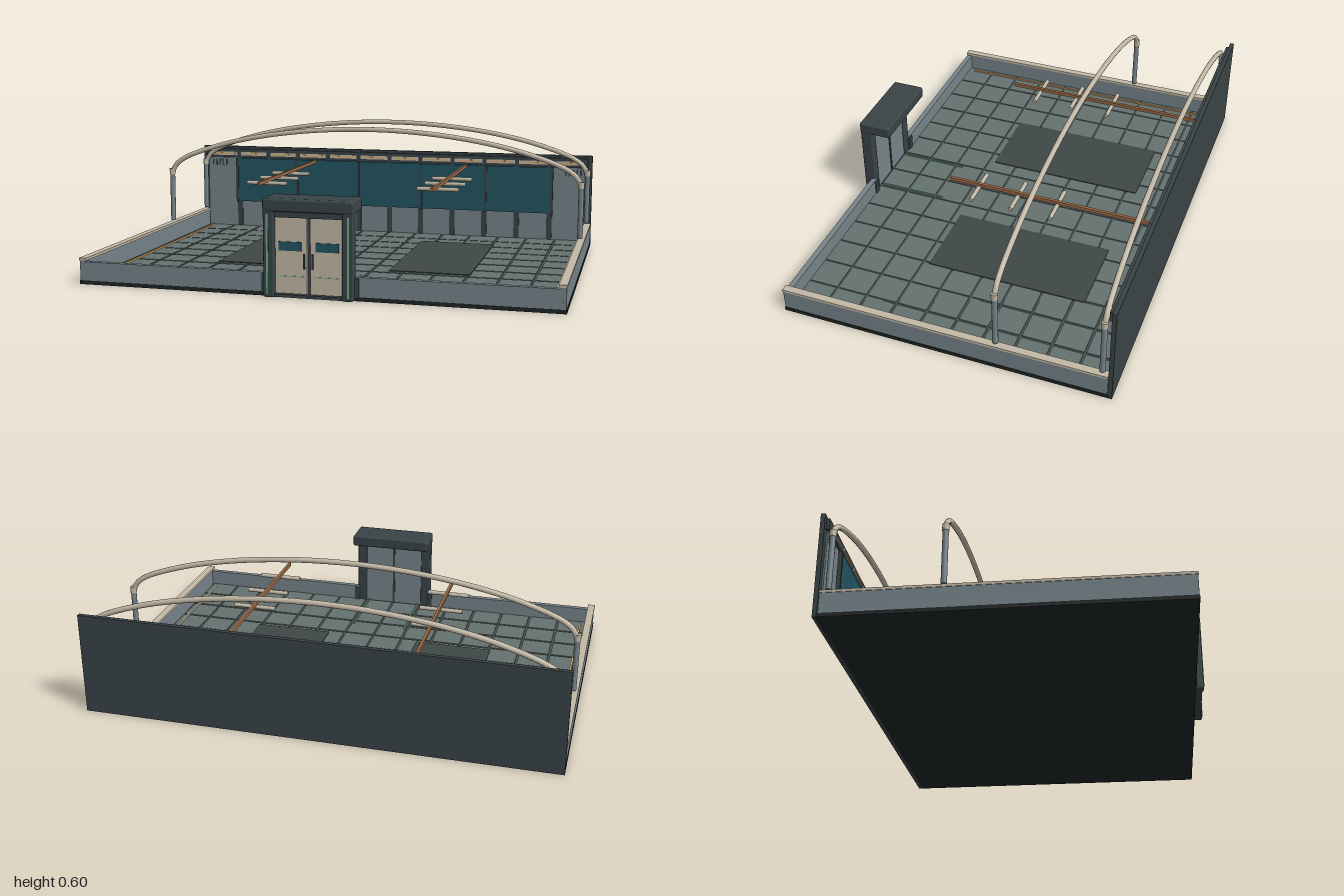
import * as THREE from 'three';
import { RoundedBoxGeometry } from 'three/addons/geometries/RoundedBoxGeometry.js';

const mat = (color) => new THREE.MeshStandardMaterial({ color });
const M = {
  base: mat(0x1f2424), dark: mat(0x394346), grey: mat(0x76848a), tile: mat(0x65716f),
  grout: mat(0x465150), mat: mat(0x3f4847), cream: mat(0xc2b8a6), teal: mat(0x235461),
  copper: mat(0x9c6a48), amber: mat(0xd8a868), green: mat(0x6fae8c),
};

export function createModel() {
  const root = new THREE.Group();
  const group = (name) => {
    const g = new THREE.Group();
    g.name = name;
    root.add(g);
    return g;
  };
  const add = (parent, name, geometry, material, x, y, z) => {
    const m = new THREE.Mesh(geometry, material);
    m.name = name;
    m.position.set(x, y, z);
    parent.add(m);
    return m;
  };
  // box given by its low and high corners
  const box = (parent, name, material, x0, x1, y0, y1, z0, z1) =>
    add(parent, name, new THREE.BoxGeometry(x1 - x0, y1 - y0, z1 - z0), material,
      (x0 + x1) / 2, (y0 + y1) / 2, (z0 + z1) / 2);
  const rounded = (parent, name, material, x0, x1, y0, y1, z0, z1, r) =>
    add(parent, name, new RoundedBoxGeometry(x1 - x0, y1 - y0, z1 - z0, 2, r), material,
      (x0 + x1) / 2, (y0 + y1) / 2, (z0 + z1) / 2);

  // floor: base slab, grout and tiles
  const floor = group('floor');
  box(floor, 'baseSlab', M.base, -1, 1, 0, 0.016, -0.71, 0.685);
  box(floor, 'groutBed', M.grout, -0.97, 0.97, 0.014, 0.022, -0.7, 0.67);
  const cols = 14, rows = 10, tw = 1.94 / cols, td = 1.36 / rows;
  for (let i = 0; i < cols; i++) {
    for (let j = 0; j < rows; j++) {
      const x = -0.97 + i * tw, z = -0.695 + j * td;
      box(floor, 'floorTile', M.tile, x + 0.005, x + tw - 0.005, 0.02, 0.026,
        z + 0.005, z + td - 0.005);
    }
  }
  for (const s of [-1, 1]) {
    box(floor, 'floorMat', M.mat, s * 0.387 - 0.175, s * 0.387 + 0.175, 0.02, 0.03, -0.47, 0.23);
    box(floor, 'edgeLightStrip', s < 0 ? M.amber : M.cream,
      s * 0.94 - 0.004, s * 0.94 + 0.004, 0.02, 0.033, -0.67, 0.63);
    box(floor, 'entryGuideStrip', M.green,
      s * 0.123 - 0.003, s * 0.123 + 0.003, 0.02, 0.032, 0.36, 0.66);
  }

  // low walls along the sides and the front
  const walls = group('lowWalls');
  for (const s of [-1, 1]) {
    box(walls, 'sideWall', M.grey, s * 0.985 - 0.0125, s * 0.985 + 0.0125, 0.014, 0.1, -0.7, 0.683);
    box(walls, 'sideWallCap', M.cream, s * 0.984 - 0.016, s * 0.984 + 0.016, 0.1, 0.111, -0.7, 0.685);
    box(walls, 'frontWall', M.grey, s * 0.58 - 0.405, s * 0.58 + 0.405, 0.012, 0.095, 0.66, 0.684);
    box(walls, 'frontWallStop', M.dark, s * 0.187 - 0.012, s * 0.187 + 0.012, 0.012, 0.09, 0.655, 0.69);
  }

  // back wall with panels, ribs, glazing and a lit fascia
  const back = group('backWall');
  box(back, 'backBoard', M.dark, -1, 1, 0, 0.44, -0.72, -0.702);
  box(back, 'backPanel', M.grey, -0.97, 0.97, 0.016, 0.38, -0.703, -0.696);
  box(back, 'fascia', M.dark, -0.98, 0.98, 0.382, 0.428, -0.703, -0.688);
  for (let i = 0; i < 12; i++) {
    const x = -0.88 + i * 0.16;
    box(back, 'fasciaLight', M.cream, x - 0.07, x + 0.07, 0.394, 0.412, -0.69, -0.684);
    box(back, 'fasciaLightInset', M.amber, x - 0.055, x + 0.055, 0.399, 0.405, -0.686, -0.682);
  }
  for (let i = 0; i < 11; i++) {
    const x = -0.8 + i * 0.16;
    box(back, 'wallRib', M.dark, x - 0.013, x + 0.013, 0.016, 0.385, -0.7, -0.69);
  }
  for (let i = 0; i < 5; i++) {
    const x = -0.648 + i * 0.324;
    box(back, 'glassPanel', M.teal, x - 0.16, x + 0.16, 0.155, 0.38, -0.694, -0.684);
  }
  for (const x of [-0.81, -0.486, -0.162, 0.162, 0.486, 0.81]) {
    box(back, 'panelDivider', M.dark, x - 0.006, x + 0.006, 0.15, 0.38, -0.69, -0.679);
  }
  for (const s of [-1, 1]) {
    for (let i = 0; i < 5; i++) {
      const x = s * (0.875 + i * 0.018);
      box(back, 'ventSlot', M.dark, x - 0.004, x + 0.004, 0.34, 0.372, -0.697, -0.693);
    }
  }

  // two roof arches standing on posts above the side walls
  const half = [[0.98, 0.35], [0.965, 0.387], [0.92, 0.425], [0.74, 0.492], [0.52, 0.542], [0.26, 0.575]];
  const profile = [...half.map(([x, y]) => [-x, y]), [0, 0.586], ...half.slice().reverse()];
  const curve = new THREE.CatmullRomCurve3(profile.map(([x, y]) => new THREE.Vector3(x, y, 0)));
  for (const z of [-0.24, -0.672]) {
    const arch = group('roofArch');
    add(arch, 'archTube', new THREE.TubeGeometry(curve, 72, 0.0115, 10), M.cream, 0, 0, z);
    for (const s of [-1, 1]) {
      add(arch, 'archPost', new THREE.CylinderGeometry(0.012, 0.012, 0.24, 12), M.grey, s * 0.98, 0.24, z);
      add(arch, 'archCollar', new THREE.CylinderGeometry(0.014, 0.014, 0.028, 12), M.cream, s * 0.98, 0.36, z);
    }
  }

  // hanging rails with cross bars
  for (const s of [-1, 1]) {
    const rail = group('hangingRail');
    box(rail, 'railBeam', M.copper, s * 0.387 - 0.006, s * 0.387 + 0.006, 0.368, 0.383, -0.69, 0.19);
    for (const z of [-0.287, -0.115, 0.06]) {
      const bar = add(rail, 'crossBar', new THREE.CylinderGeometry(0.009, 0.009, 0.185, 10), M.cream,
        s * 0.39, 0.363, z);
      bar.rotation.z = Math.PI / 2;
    }
  }

  // entrance: posts, canopy and double door
  const entry = group('entrance');
  rounded(entry, 'canopy', M.dark, -0.185, 0.185, 0.345, 0.397, 0.575, 0.72, 0.009);
  box(entry, 'doorLintel', M.dark, -0.15, 0.15, 0.322, 0.35, 0.675, 0.706);
  box(entry, 'doorSill', M.dark, -0.15, 0.15, 0.004, 0.016, 0.67, 0.712);
  box(entry, 'doorBacking', M.grey, -0.142, 0.142, 0.014, 0.335, 0.675, 0.688);
  box(entry, 'backMullion', M.dark, -0.005, 0.005, 0.014, 0.335, 0.671, 0.69);
  for (const s of [-1, 1]) {
    rounded(entry, 'doorPost', M.dark, s * 0.161 - 0.022, s * 0.161 + 0.022, 0.002, 0.365, 0.667, 0.718, 0.006);
    box(entry, 'postLight', M.green, s * 0.165 - 0.004, s * 0.165 + 0.004, 0.015, 0.335, 0.714, 0.721);
    box(entry, 'doorLeaf', M.cream, s * 0.072 - 0.065, s * 0.072 + 0.065, 0.018, 0.322, 0.686, 0.7);
    box(entry, 'doorWindow', M.teal, s * 0.076 - 0.047, s * 0.076 + 0.047, 0.19, 0.226, 0.698, 0.704);
    box(entry, 'doorKickLine', M.green, s * 0.072 - 0.055, s * 0.072 + 0.055, 0.086, 0.089, 0.698, 0.702);
    box(entry, 'doorHandle', M.dark, s * 0.017 - 0.003, s * 0.017 + 0.003, 0.12, 0.18, 0.698, 0.708);
  }
  return root;
}
